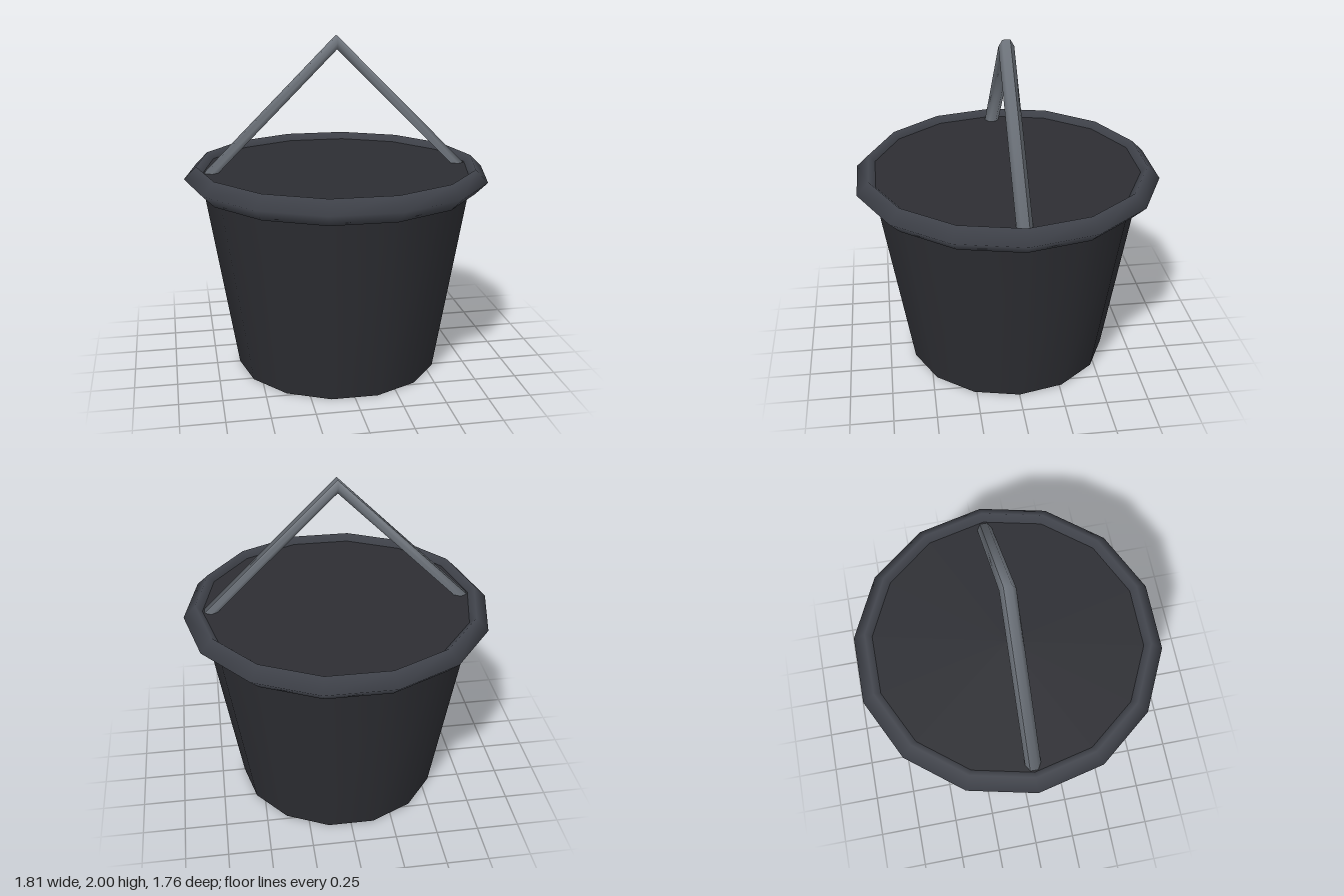
import * as THREE from 'three';

const SIDES = 14;

function part(name, geometry, color) {
  const mesh = new THREE.Mesh(geometry, new THREE.MeshStandardMaterial({ color }));
  mesh.name = name;
  return mesh;
}

export function createModel() {
  const group = new THREE.Group();
  group.name = 'bucket';

  // Tapered body, closed at the bottom and just below the top of the rim
  const height = 1.218;
  const body = new THREE.CylinderGeometry(0.81, 0.61, height, SIDES);
  body.rotateY(Math.PI / 2); // corners on the x axis
  body.translate(0, height / 2, 0);
  group.add(part('body', body, 0x2d2e33));

  // Rolled rim with a diamond cross-section
  const rim = new THREE.TorusGeometry(0.832, 0.073, 4, SIDES);
  rim.rotateX(Math.PI / 2);
  rim.translate(0, 1.184, 0);
  group.add(part('rim', rim, 0x41444c));

  // Handle: hexagonal bar swept over a half turn in two straight legs
  const profile = [];
  for (let i = 0; i <= 6; i++) {
    const a = Math.PI / 6 + (i * Math.PI) / 3;
    profile.push(new THREE.Vector2(0.751 + 0.045 * Math.cos(a), 0.045 * Math.sin(a)));
  }
  const handle = new THREE.LatheGeometry(profile, 2, -Math.PI / 2, Math.PI);
  handle.rotateX(-Math.PI / 2);
  handle.translate(0, 1.21, 0);
  group.add(part('handle', handle, 0x70767e));

  return group;
}
